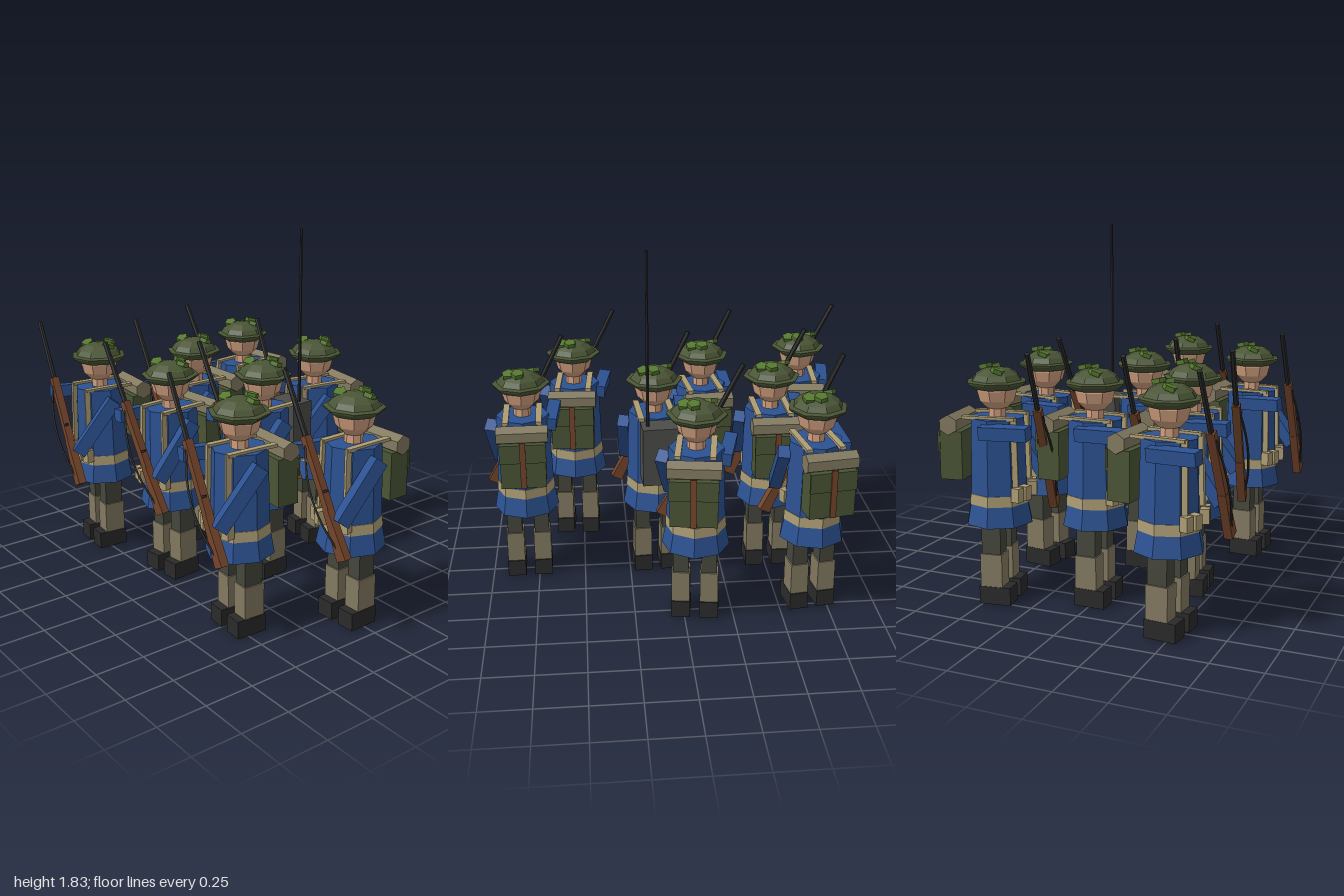
import * as THREE from 'three';

const paint = (name, color) => {
  const m = new THREE.MeshStandardMaterial({ color });
  m.name = name;
  return m;
};
const mat = {
  blue: paint('coat blue', 0x2c5292),
  tan: paint('webbing tan', 0xad9d74),
  khaki: paint('gaiter khaki', 0x827960),
  skin: paint('skin', 0xd2a07f),
  olive: paint('olive', 0x4a5535),
  leaf: paint('leaf green', 0x55782f),
  dark: paint('near black', 0x2a2a2a),
  trousers: paint('trouser grey', 0x45463c),
  wood: paint('wood brown', 0x75452b),
  radio: paint('radio grey', 0x4c4d49),
};

// Faceted mesh added to a parent
function add(parent, name, geometry, material, x = 0, y = 0, z = 0) {
  const g = geometry.index ? geometry.toNonIndexed() : geometry;
  g.computeVertexNormals();
  const mesh = new THREE.Mesh(g, material);
  mesh.name = name;
  mesh.position.set(x, y, z);
  parent.add(mesh);
  return mesh;
}
const box = (w, h, d) => new THREE.BoxGeometry(w, h, d);
const drum = (top, bottom, h, sides = 8) => new THREE.CylinderGeometry(top, bottom, h, sides);

// Square bar running from point a to point b
function bar(parent, name, a, b, w, d, material) {
  const p = new THREE.Vector3(...a), q = new THREE.Vector3(...b);
  const mesh = add(parent, name, box(w, p.distanceTo(q), d), material);
  mesh.position.copy(p).add(q).multiplyScalar(0.5);
  mesh.quaternion.setFromUnitVectors(new THREE.Vector3(0, 1, 0), q.sub(p).normalize());
  return mesh;
}

function makeRifle() {
  const rifle = new THREE.Group();
  rifle.name = 'rifle';
  add(rifle, 'barrel', drum(0.013, 0.014, 0.36, 6), mat.dark, 0, 0.28, 0);
  add(rifle, 'forestock', box(0.034, 0.36, 0.04), mat.wood, 0, -0.04, 0);
  // Butt widens toward its end
  const butt = box(0.06, 0.25, 0.042);
  const p = butt.attributes.position;
  for (let i = 0; i < p.count; i++) if (p.getY(i) > 0) p.setX(i, p.getX(i) * 0.55);
  add(rifle, 'butt', butt, mat.wood, -0.003, -0.335, 0);
  add(rifle, 'bolt', box(0.045, 0.012, 0.012), mat.dark, 0.02, -0.13, 0.01);
  const slingPath = new THREE.QuadraticBezierCurve3(
    new THREE.Vector3(0, 0.1, 0.015),
    new THREE.Vector3(-0.06, -0.14, 0.085),
    new THREE.Vector3(-0.01, -0.4, 0.015));
  add(rifle, 'sling', new THREE.TubeGeometry(slingPath, 8, 0.006, 4), mat.dark);
  rifle.position.set(-0.015, 0.857, 0.232);
  rifle.rotation.set(0, 0.05, 0.461);
  return rifle;
}

function makeHelmet() {
  const helmet = new THREE.Group();
  helmet.name = 'helmet';
  const profile = [[0, 1.065], [0.112, 1.065], [0.146, 1.09], [0.15, 1.1], [0.126, 1.106],
    [0.108, 1.132], [0.066, 1.158], [0, 1.168]].map(([r, y]) => new THREE.Vector2(r, y));
  add(helmet, 'helmetShell', new THREE.LatheGeometry(profile, 8), mat.olive);
  // Leaf camouflage lying on the dome
  [[0.01, 1.168, -0.062, 0.3], [0.06, 1.158, -0.035, 1.1], [-0.066, 1.155, 0.032, 2]].forEach(([x, y, z, turn]) => {
    const leaf = add(helmet, 'leaf', drum(0.034, 0.034, 0.022, 5), mat.leaf, x, y, z);
    leaf.rotation.set(z * 4, turn, -x * 4);
  });
  return helmet;
}

function makePack() {
  const pack = new THREE.Group();
  pack.name = 'backpack';
  add(pack, 'packBody', box(0.23, 0.24, 0.115), mat.olive, 0, 0.74, -0.2);
  add(pack, 'packFlap', box(0.236, 0.1, 0.012), mat.olive, 0, 0.81, -0.26);
  add(pack, 'blanketRoll', drum(0.05, 0.05, 0.26, 6), mat.khaki, 0, 0.893, -0.205).rotation.set(Math.PI / 6, 0, Math.PI / 2, 'XYZ');
  add(pack, 'packStrap', box(0.03, 0.25, 0.008), mat.wood, 0, 0.75, -0.27);
  return pack;
}

function makeRadio() {
  const radio = new THREE.Group();
  radio.name = 'radioSet';
  add(radio, 'radioCase', box(0.185, 0.31, 0.13), mat.radio, 0, 0.765, -0.2);
  add(radio, 'antenna', drum(0.007, 0.009, 0.92, 6), mat.dark, 0.06, 1.37, -0.205);
  return radio;
}

function makeSoldier(hasRadio) {
  const s = new THREE.Group();
  // Legs
  for (const side of [-1, 1]) {
    const x = side * 0.072;
    add(s, 'boot', box(0.096, 0.09, 0.16), mat.dark, x, 0.045, 0.012);
    add(s, 'gaiter', box(0.092, 0.165, 0.112), mat.khaki, x, 0.1725, -0.005);
    add(s, 'trouserLeg', box(0.078, 0.19, 0.098), mat.trousers, x, 0.345, -0.005);
  }
  // Coat and belt
  add(s, 'coatSkirt', drum(0.147, 0.17, 0.12), mat.blue, 0, 0.46, 0);
  add(s, 'belt', drum(0.15, 0.153, 0.052), mat.tan, 0, 0.527, 0);
  add(s, 'coatTorso', drum(0.137, 0.147, 0.38), mat.blue, 0, 0.735, 0);
  // Webbing and ammunition pouches
  for (const side of [-1, 1]) {
    add(s, 'shoulderStrap', box(0.032, 0.016, 0.27), mat.tan, side * 0.085, 0.929, -0.013);
    bar(s, 'frontStrap', [side * 0.085, 0.935, 0.115], [side * 0.092, 0.55, 0.123], 0.028, 0.016, mat.tan);
    for (const x of [0.052, 0.102]) {
      add(s, 'pouch', box(0.042, 0.07, 0.045), mat.tan, side * x, 0.563, 0.175 - x * 0.4).rotation.y = side * 0.3;
    }
  }
  // Arms holding the rifle across the body
  bar(s, 'leftArm', [0.165, 0.875, -0.005], [0.135, 0.605, 0.205], 0.06, 0.07, mat.blue);
  bar(s, 'rightArm', [-0.14, 0.872, -0.03], [-0.165, 0.882, 0.22], 0.065, 0.065, mat.blue);
  s.add(makeRifle());
  // Head
  add(s, 'neck', drum(0.045, 0.045, 0.08), mat.skin, 0, 0.95, 0);
  add(s, 'head', new THREE.SphereGeometry(0.103, 8, 6), mat.skin, 0, 1.058, 0);
  s.add(makeHelmet());
  s.add(hasRadio ? makeRadio() : makePack());
  return s;
}

export function createModel() {
  const squad = new THREE.Group();
  squad.name = 'squad';
  // x, z, turn, carries the radio
  const places = [
    [-0.66, -0.465, 0.14], [-0.06, -0.51, -0.15],
    [-0.51, -0.01, 0], [0.11, -0.01, 0.06, true], [0.8, -0.01, 0.02],
    [-0.745, 0.465, -0.09], [-0.18, 0.37, 0.1], [0.53, 0.46, -0.06],
  ];
  for (const [x, z, turn, hasRadio] of places) {
    const soldier = makeSoldier(hasRadio);
    soldier.name = hasRadio ? 'radioOperator' : 'rifleman';
    soldier.position.set(x, 0, z);
    soldier.rotation.y = turn;
    squad.add(soldier);
  }
  return squad;
}
